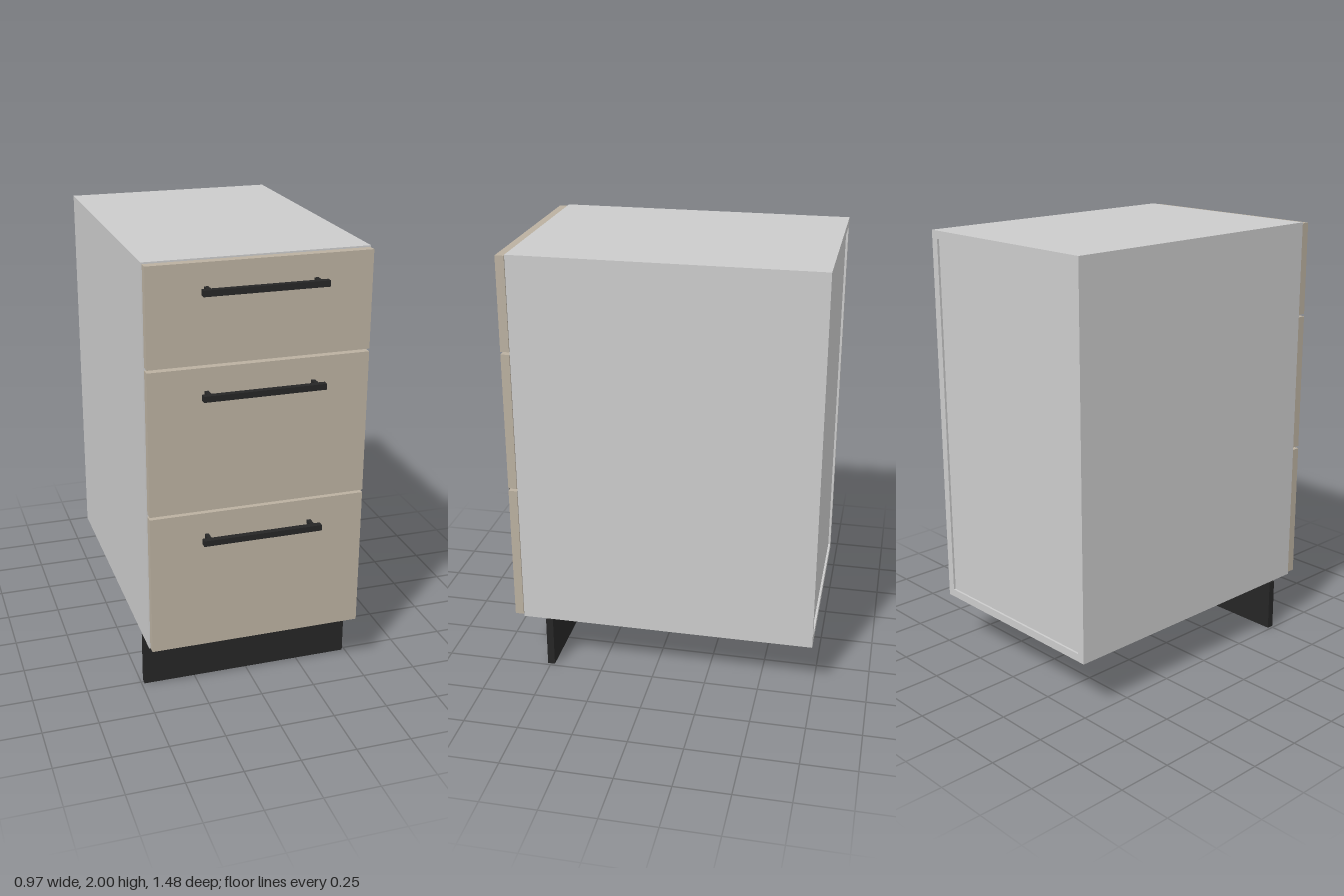
import * as THREE from 'three';

const carcassMat = new THREE.MeshStandardMaterial({ color: 0xcccccc });
const frontMat = new THREE.MeshStandardMaterial({ color: 0xbab0a0 });
const darkMat = new THREE.MeshStandardMaterial({ color: 0x262626 });

// Box given by its limits on each axis
function box(name, mat, [x0, x1], [y0, y1], [z0, z1]) {
  const mesh = new THREE.Mesh(new THREE.BoxGeometry(x1 - x0, y1 - y0, z1 - z0), mat);
  mesh.position.set((x0 + x1) / 2, (y0 + y1) / 2, (z0 + z1) / 2);
  mesh.name = name;
  return mesh;
}

// Hollow cabinet body with a back panel set slightly in
function createCarcass() {
  const g = new THREE.Group();
  g.name = 'carcass';
  const w = 0.487, t = 0.036, bottom = 0.25, top = 2, depth = [-0.742, 0.621];
  const inner = [-w + t, w - t];
  g.add(
    box('leftSide', carcassMat, [w - t, w], [bottom, top], depth),
    box('rightSide', carcassMat, [-w, -w + t], [bottom, top], depth),
    box('bottomPanel', carcassMat, inner, [bottom, bottom + t], depth),
    box('topPanel', carcassMat, inner, [top - t, top], depth),
    box('backPanel', carcassMat, inner, [bottom + t, top - t], [-0.732, -0.715])
  );
  return g;
}

// Bar handle on two short posts
function createHandle(y) {
  const g = new THREE.Group();
  g.name = 'handle';
  g.add(box('handleBar', darkMat, [-0.266, 0.266], [y - 0.013, y + 0.013], [0.714, 0.741]));
  for (const x of [-0.233, 0.233]) {
    g.add(box('handlePost', darkMat, [x - 0.009, x + 0.009], [y - 0.009, y + 0.009], [0.664, 0.715]));
  }
  return g;
}

export function createModel() {
  const model = new THREE.Group();
  model.name = 'drawerCabinet';
  model.add(createCarcass());

  // Drawer fronts: bottom, top, handle height
  const drawers = [[0.258, 0.902, 0.795], [0.914, 1.556, 1.447], [1.568, 1.994, 1.887]];
  for (const [y0, y1, handleY] of drawers) {
    const drawer = new THREE.Group();
    drawer.name = 'drawer';
    drawer.add(box('drawerFront', frontMat, [-0.483, 0.483], [y0, y1], [0.625, 0.665]), createHandle(handleY));
    model.add(drawer);
  }

  // Plinth board set back under the body
  model.add(box('plinth', darkMat, [-0.487, 0.487], [0, 0.243], [0.481, 0.515]));
  return model;
}
